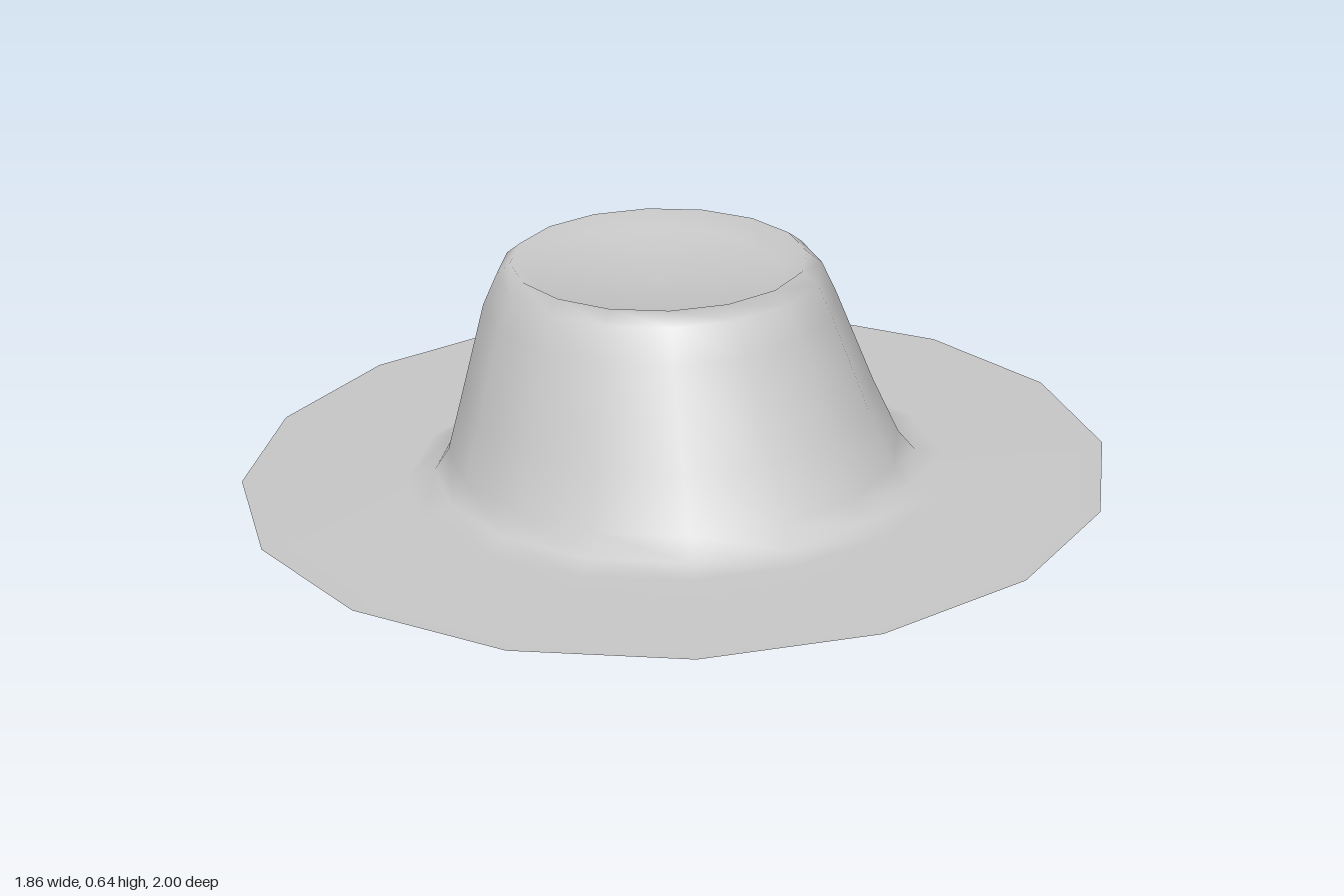
import * as THREE from 'three';
import { mergeVertices } from 'three/addons/utils/BufferGeometryUtils.js';

const SIDES = 16;
const SLOPE = 0.13; // the whole hat leans back
const BASE = 0.135;

// Skin elliptical rings: [height above tilted brim plane, front z, back z, half width]
function skinRings(rings) {
  const positions = [], index = [];
  for (const [h, front, back, rx] of rings) {
    const cz = (front + back) / 2, rz = (front - back) / 2;
    for (let i = 0; i < SIDES; i++) {
      const a = (i / SIDES) * Math.PI * 2;
      const z = cz + rz * Math.cos(a);
      positions.push(rx * Math.sin(a), BASE + SLOPE * z + h, z);
    }
  }
  for (let r = 0; r < rings.length - 1; r++) {
    for (let i = 0; i < SIDES; i++) {
      const j = (i + 1) % SIDES;
      const a = r * SIDES + i, b = r * SIDES + j;
      index.push(a, b, a + SIDES, b, b + SIDES, a + SIDES);
    }
  }
  const g = new THREE.BufferGeometry();
  g.setAttribute('position', new THREE.Float32BufferAttribute(positions, 3));
  g.setIndex(index);
  const welded = mergeVertices(g, 1e-5);
  welded.computeVertexNormals();
  return welded;
}

export function createModel() {
  const hat = new THREE.Group();
  hat.name = 'hat';
  const material = new THREE.MeshStandardMaterial({ color: 0xcccccc, roughness: 0.8 });
  const add = (name, rings) => {
    const mesh = new THREE.Mesh(skinRings(rings), material);
    mesh.name = name;
    hat.add(mesh);
  };

  // Upper brim flowing into the crown and its dished top
  add('brimAndCrown', [
    [0, 1, -1, 0.93],
    [0, 0.64, -0.59, 0.58],
    [0.015, 0.585, -0.545, 0.515],
    [0.06, 0.55, -0.525, 0.48],
    [0.18, 0.48, -0.52, 0.435],
    [0.38, 0.37, -0.49, 0.37],
    [0.45, 0.33, -0.455, 0.34],
    [0.475, 0.29, -0.42, 0.31],
    [0.44, 0.25, -0.38, 0.265],
    [0.42, -0.065, -0.065, 0],
  ]);

  // Lining inside the crown, from its top down to the head opening
  add('lining', [
    [0.39, -0.065, -0.065, 0],
    [0.4, 0.26, -0.39, 0.27],
    [0.36, 0.33, -0.45, 0.33],
    [0.15, 0.42, -0.47, 0.39],
    [-0.06, 0.42, -0.42, 0.39],
  ]);

  // Underside of the brim, from head opening out to the rim
  add('brimUnderside', [
    [-0.06, 0.42, -0.42, 0.39],
    [0, 1, -1, 0.93],
  ]);

  return hat;
}
